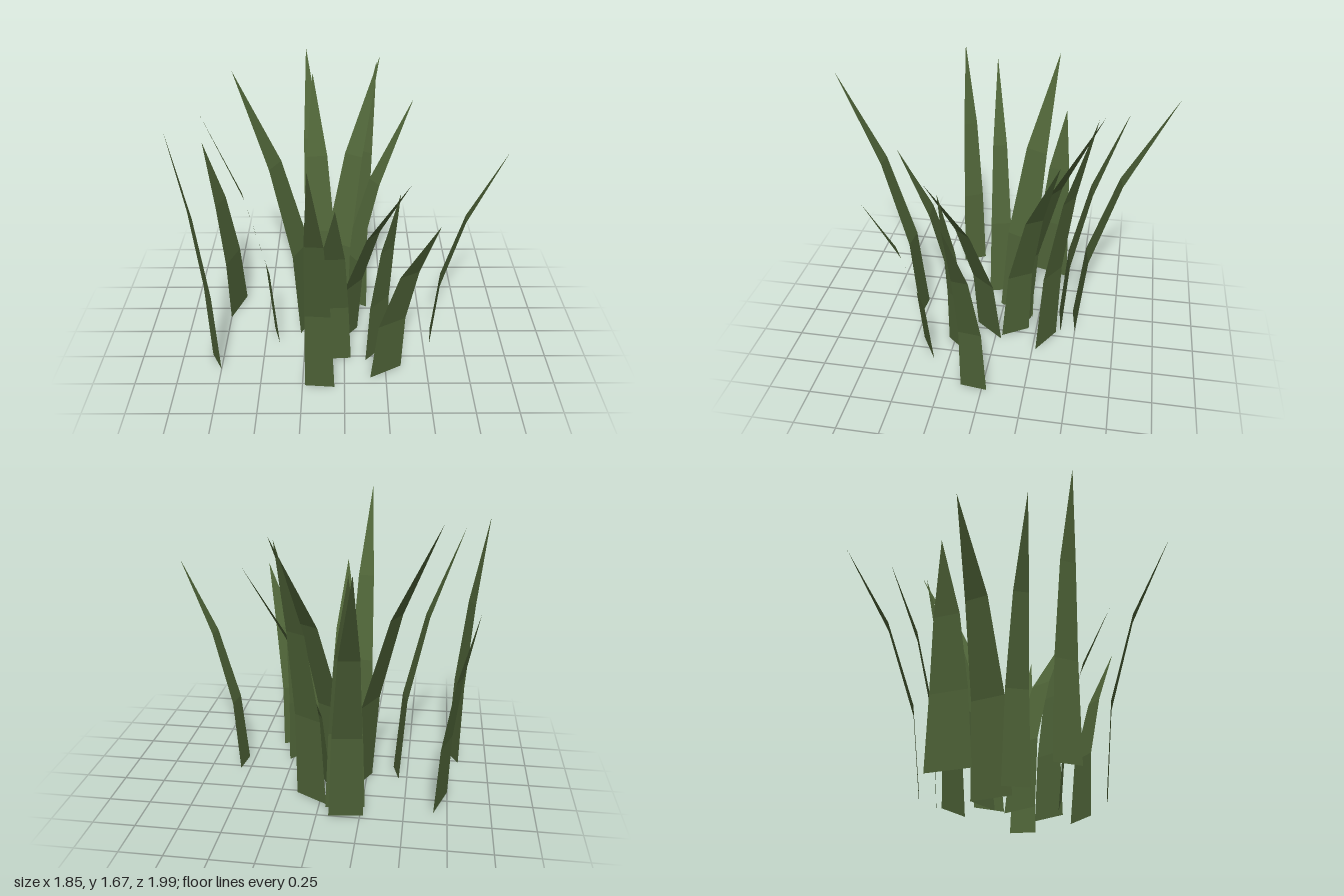
import * as THREE from 'three';

const grass = new THREE.MeshStandardMaterial({ color: 0x4f6438, side: THREE.DoubleSide });
grass.name = 'grass green';

// Each blade: base corner x, z, other base corner x, z, tip x, y, z
const blades = [
  // back
  [-0.27, -0.47, -0.07, -0.50, -0.25, 1.58, -1.00],
  [-0.27, -0.38, -0.04, -0.41, -0.20, 1.50, -0.73],
  [-0.16, -0.20, 0.02, -0.09, 0.22, 1.65, -0.60],
  [-0.04, -0.38, 0.15, -0.27, 0.20, 1.63, -0.57],
  [-0.05, -0.20, 0.05, -0.04, 0.42, 1.45, -0.40],
  // right side
  [-0.17, -0.21, -0.28, 0.02, -0.65, 1.67, -0.28],
  [-0.45, -0.03, -0.41, 0.12, -0.78, 1.57, 0.13],
  [-0.82, 0.23, -0.75, 0.37, -0.93, 1.59, 0.37],
  [-0.67, -0.39, -0.75, -0.15, -0.87, 1.20, -0.32],
  // left side
  [0.56, 0.03 - 0.06, 0.54, 0.13, 0.92, 1.33, 0.11],
  [0.085, -0.04, -0.055, 0.135, 0.36, 1.25, 0.345],
  [0.27, 0.13, 0.13, 0.29, 0.31, 1.17, 0.285],
  // front
  [0.155, 0.45, 0.345, 0.34, 0.49, 1.18, 0.66],
  [-0.20, 0.28, 0.04, 0.265, -0.05, 1.24, 0.61],
  [-0.235, 0.515, -0.06, 0.53, -0.17, 1.65, 0.99],
];

// Flat tapering strip in three segments that bends outward with the square of height
function bladeGeometry([ax, az, bx, bz, tx, ty, tz]) {
  const cx = (ax + bx) / 2, cz = (az + bz) / 2;
  const hx = (bx - ax) / 2, hz = (bz - az) / 2;
  // Corner order keeps the front face on the upper side of the bend
  const flip = (tx - cx) * hz - (tz - cz) * hx > 0 ? -1 : 1;
  const widths = [1, 0.84, 0.58, 0];
  const pos = [], index = [];
  widths.forEach((w, i) => {
    const t = i / 3, k = t * t;
    for (const s of i < 3 ? [-flip, flip] : [0]) {
      pos.push(cx + (tx - cx) * k + s * hx * w, ty * t, cz + (tz - cz) * k + s * hz * w);
    }
  });
  for (let i = 0; i < 2; i++) {
    const a = i * 2;
    index.push(a, a + 1, a + 3, a, a + 3, a + 2);
  }
  index.push(4, 5, 6);
  const indexed = new THREE.BufferGeometry();
  indexed.setAttribute('position', new THREE.Float32BufferAttribute(pos, 3));
  indexed.setIndex(index);
  const flat = indexed.toNonIndexed();
  flat.computeVertexNormals();
  // Turn the strip over if its front faces down
  if (flat.getAttribute('normal').getY(flat.getAttribute('position').count - 1) < 0) {
    for (let i = 0; i < index.length; i += 3) [index[i], index[i + 1]] = [index[i + 1], index[i]];
    indexed.setIndex(index);
    const turned = indexed.toNonIndexed();
    turned.computeVertexNormals();
    return turned;
  }
  return flat;
}

export function createModel() {
  const tuft = new THREE.Group();
  tuft.name = 'grassTuft';
  blades.forEach((b, i) => {
    const mesh = new THREE.Mesh(bladeGeometry(b), grass);
    mesh.name = `blade${i + 1}`;
    tuft.add(mesh);
  });
  return tuft;
}
